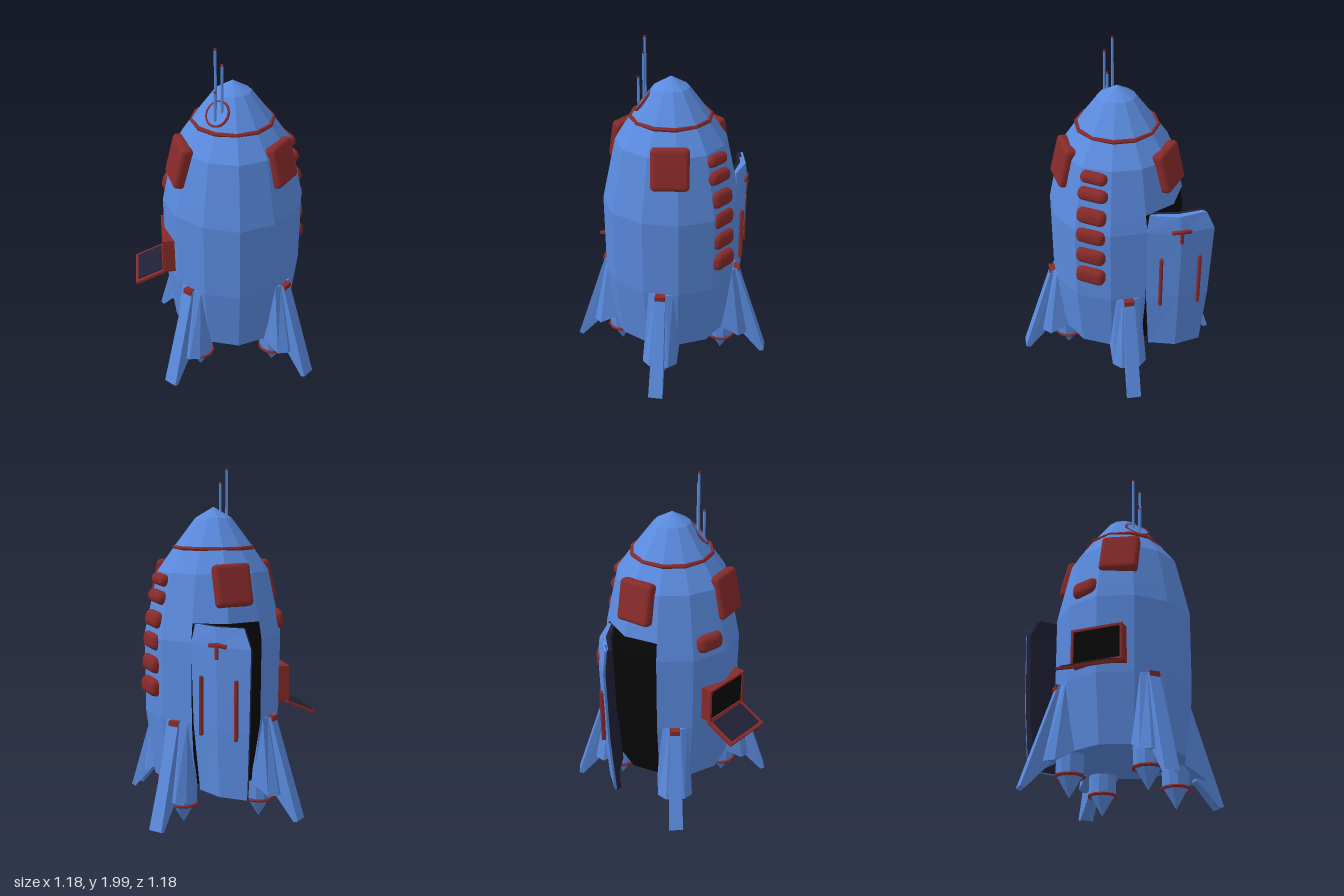
import * as THREE from 'three';
import { RoundedBoxGeometry } from 'three/addons/geometries/RoundedBoxGeometry.js';

const paint = (name, color) => {
  const m = new THREE.MeshStandardMaterial({ color, flatShading: true });
  m.name = name;
  return m;
};

// Skin rings of [x, y, z] (bottom to top, anticlockwise from above); skip(row, column) leaves holes
function loft(rings, skip = () => false) {
  const pos = [];
  const tri = (...pts) => pts.forEach(p => pos.push(...p));
  const n = rings[0].length;
  for (let r = 0; r < rings.length - 1; r++) {
    for (let k = 0; k < n; k++) {
      if (skip(r, k)) continue;
      const a = rings[r][k], b = rings[r][(k + 1) % n];
      const c = rings[r + 1][(k + 1) % n], d = rings[r + 1][k];
      tri(a, b, c);
      tri(a, c, d);
    }
  }
  const cap = (ring, flip) => {
    const mid = [0, 1, 2].map(i => ring.reduce((s, p) => s + p[i], 0) / n);
    ring.forEach((p, k) => {
      const q = ring[(k + 1) % n];
      flip ? tri(mid, q, p) : tri(mid, p, q);
    });
  };
  cap(rings[0], true);
  cap(rings[rings.length - 1], false);
  const g = new THREE.BufferGeometry();
  g.setAttribute('position', new THREE.Float32BufferAttribute(pos, 3));
  g.computeVertexNormals();
  return g;
}

// Twelve-sided ring with flats facing the axes and slightly fuller diagonals
const ring12 = (y, r) => Array.from({ length: 12 }, (_, k) => {
  const a = Math.PI / 12 + k * Math.PI / 6;
  const rr = k % 3 === 1 ? r * 1.03 : r;
  return [rr * Math.sin(a), y, rr * Math.cos(a)];
});

export function createModel() {
  const blue = paint('hull blue', 0x5a8ade);
  const red = paint('trim red', 0x862a2a);
  const navy = paint('lining navy', 0x202036);
  const black = paint('interior black', 0x070707);

  const model = new THREE.Group();
  const add = (name, geo, mat, x = 0, y = 0, z = 0, parent = model) => {
    const m = new THREE.Mesh(geo, mat);
    m.name = name;
    m.position.set(x, y, z);
    parent.add(m);
    return m;
  };
  const group = (name, rotY = 0) => {
    const g = new THREE.Group();
    g.name = name;
    g.rotation.y = rotY;
    model.add(g);
    return g;
  };

  // Hull with a doorway two facets wide, and the dark core seen through it
  const profile = [[0.24, 0.34], [0.62, 0.388], [1.067, 0.392], [1.17, 0.371],
    [1.43, 0.315], [1.56, 0.225], [1.725, 0.102], [1.785, 0.001]];
  const isDoorway = (r, k) => r < 3 && (k === 6 || k === 7);
  add('hull', loft(profile.map(([y, r]) => ring12(y, r)), isDoorway), blue);
  add('cabin', loft(profile.slice(0, 5).map(([y, r], i) => ring12(i ? y : y + 0.01, r * 0.965))), black);

  // Nose band
  const band = add('noseBand', new THREE.TorusGeometry(0.226, 0.012, 6, 12), red, 0, 1.56, 0);
  band.rotation.set(Math.PI / 2, 0, Math.PI / 12);

  // Four fins, each with a buttress, blade, cap and thruster below
  const mirror = half => [...half, ...half.slice().reverse().map(([x, y, z]) => [-x, y, z])];
  const buttress = loft([
    mirror([[-0.1, 0.24, 0.32], [-0.1, 0.18, 0.43], [-0.055, 0.18, 0.474]]),
    mirror([[-0.07, 0.62, 0.34], [-0.07, 0.62, 0.374], [-0.033, 0.62, 0.388]]),
  ]);
  const blade = loft([
    mirror([[-0.03, 0.18, 0.43], [-0.04, 0.035, 0.563], [-0.041, 0.045, 0.588]]),
    mirror([[-0.03, 0.62, 0.36], [-0.03, 0.62, 0.385], [-0.03, 0.62, 0.402]]),
  ]);
  for (let i = 0; i < 4; i++) {
    const fin = group('fin', i * Math.PI / 2);
    add('finButtress', buttress, blue, 0, 0, 0, fin);
    add('finBlade', blade, blue, 0, 0, 0, fin);
    add('finCap', new THREE.BoxGeometry(0.058, 0.028, 0.036), red, 0, 0.609, 0.396, fin);
    const t = group('thruster', i * Math.PI / 2);
    add('thrusterBody', new THREE.CylinderGeometry(0.08, 0.076, 0.16, 10), blue, 0, 0.2, 0.312, t);
    add('thrusterRing', new THREE.TorusGeometry(0.078, 0.009, 6, 10), red, 0, 0.126, 0.312, t)
      .rotation.x = Math.PI / 2;
    add('thrusterTip', new THREE.ConeGeometry(0.066, 0.112, 8), blue, 0, 0.066, 0.312, t)
      .rotation.x = Math.PI;
  }

  // Padded panels and rolls strapped around the hull
  const pad = (name, x, y, z, w, h, d, tilt, roll = 0, az = Math.atan2(x, z), round = 0.35) => {
    const m = add(name, new RoundedBoxGeometry(w, h, d, 2, Math.min(w, h, d) * round), red, x, y, z);
    m.rotation.set(-tilt, az, roll, 'YXZ');
  };
  pad('frontPad', -0.148, 1.36, 0.285, 0.22, 0.245, 0.07, 0.24, -0.05, -0.58);
  pad('leftPad', 0.306, 1.37, -0.042, 0.21, 0.235, 0.07, 0.24);
  pad('rearPad', -0.25, 1.37, -0.2, 0.21, 0.235, 0.07, 0.24, 0.04);
  pad('sideRoll', -0.31, 1.15, 0.188, 0.16, 0.1, 0.08, 0.15, 0.06, -1.03, 0.45);
  [[1.385, 0.318, 0.068], [1.29, 0.338, 0.076], [1.165, 0.358, 0.095],
    [1.045, 0.37, 0.097], [0.915, 0.378, 0.097], [0.785, 0.385, 0.1]].forEach(([y, r, h], i) => {
    const a = 2.58;
    pad('bedroll', r * Math.sin(a), y, r * Math.cos(a), i ? 0.17 : 0.15, h, 0.08,
      i < 3 ? 0.2 : 0.04, -0.07, 2.65, 0.45);
  });

  // Open door: blue skin outside, dark lining inside
  const slab = (d0, d1, fill) => loft([
    [0.235, -0.13, -0.44, 0.035], [0.62, -0.105, -0.465, 0.01],
    [1.067, -0.098, -0.478, 0], [1.17, -0.115, -0.43, 0.012],
  ].map(([y, hinge, edge, dz]) => {
    const mid = (hinge + edge) / 2;
    return [[hinge, y, -0.375 + dz + d0], [mid, y, -0.418 + dz + d0], [edge, y, -0.385 + dz + d0],
      [edge + 0.02, y, -0.385 + dz + d1], [mid, y, -0.418 + dz + d1 + fill], [hinge - 0.015, y, -0.375 + dz + d1]];
  }));
  add('doorSkin', slab(0, 0.018, 0), blue);
  add('doorLining', slab(0.014, 0.036, 0.02), navy);
  [-0.18, -0.4].forEach(x =>
    add('doorRail', new RoundedBoxGeometry(0.02, 0.33, 0.025, 1, 0.008), red, x, 0.735, -0.402));
  for (const s of [-1, 1]) {
    const arm = add('doorHandleArm', new RoundedBoxGeometry(0.062, 0.024, 0.022, 1, 0.008), red,
      -0.288 + s * 0.026, 1.075, -0.411);
    arm.rotation.set(0, -s * 0.2, -s * 0.15);
  }
  add('doorHandleStem', new RoundedBoxGeometry(0.02, 0.08, 0.02, 1, 0.006), red, -0.288, 1.04, -0.415);

  // Storage locker with a dropped lid
  const locker = group('locker', -Math.PI / 4);
  const cx = 0.008, cy = 0.772, w = 0.295, h = 0.208, t = 0.013;
  for (const s of [-1, 1]) {
    add('lockerSide', new THREE.BoxGeometry(t, h, 0.12), red, cx + s * (w - t) / 2, cy, 0.36, locker);
    add('lockerRail', new THREE.BoxGeometry(w, t, 0.12), red, cx, cy + s * (h - t) / 2, 0.36, locker);
  }
  add('lockerInside', new THREE.BoxGeometry(w - t, h - t, 0.06), black, cx, cy, 0.382, locker);
  const lid = new THREE.Group();
  lid.name = 'lockerLid';
  lid.position.set(0, 0.672, 0.412);
  lid.rotation.x = 0.41;
  locker.add(lid);
  add('lidPanel', new THREE.BoxGeometry(w, 0.016, 0.188), red, 0, -0.008, 0.094, lid);
  add('lidLining', new THREE.BoxGeometry(w - 0.045, 0.006, 0.155), navy, 0, 0.002, 0.092, lid);

  // Antenna cluster on the nose
  const mount = add('antennaRing', new THREE.TorusGeometry(0.07, 0.008, 6, 16), red, 0.02, 1.643, 0.152);
  mount.rotation.x = -0.64;
  const plate = add('antennaPlate', new THREE.CylinderGeometry(0.07, 0.07, 0.02, 16), blue, 0.02, 1.638, 0.148);
  plate.rotation.x = Math.PI / 2 - 0.64;
  [[0, 1.65, 2, 0.143], [0.045, 1.65, 1.925, 0.143], [0.024, 1.61, 1.78, 0.177]].forEach(([x, y0, y1, z]) => {
    add('antenna', new THREE.CylinderGeometry(0.0075, 0.008, y1 - y0 - 0.008, 6), blue, x, (y0 + y1 - 0.008) / 2, z);
    add('antennaTip', new THREE.CylinderGeometry(0.008, 0.008, 0.008, 6), red, x, y1 - 0.004, z);
  });

  return model;
}
